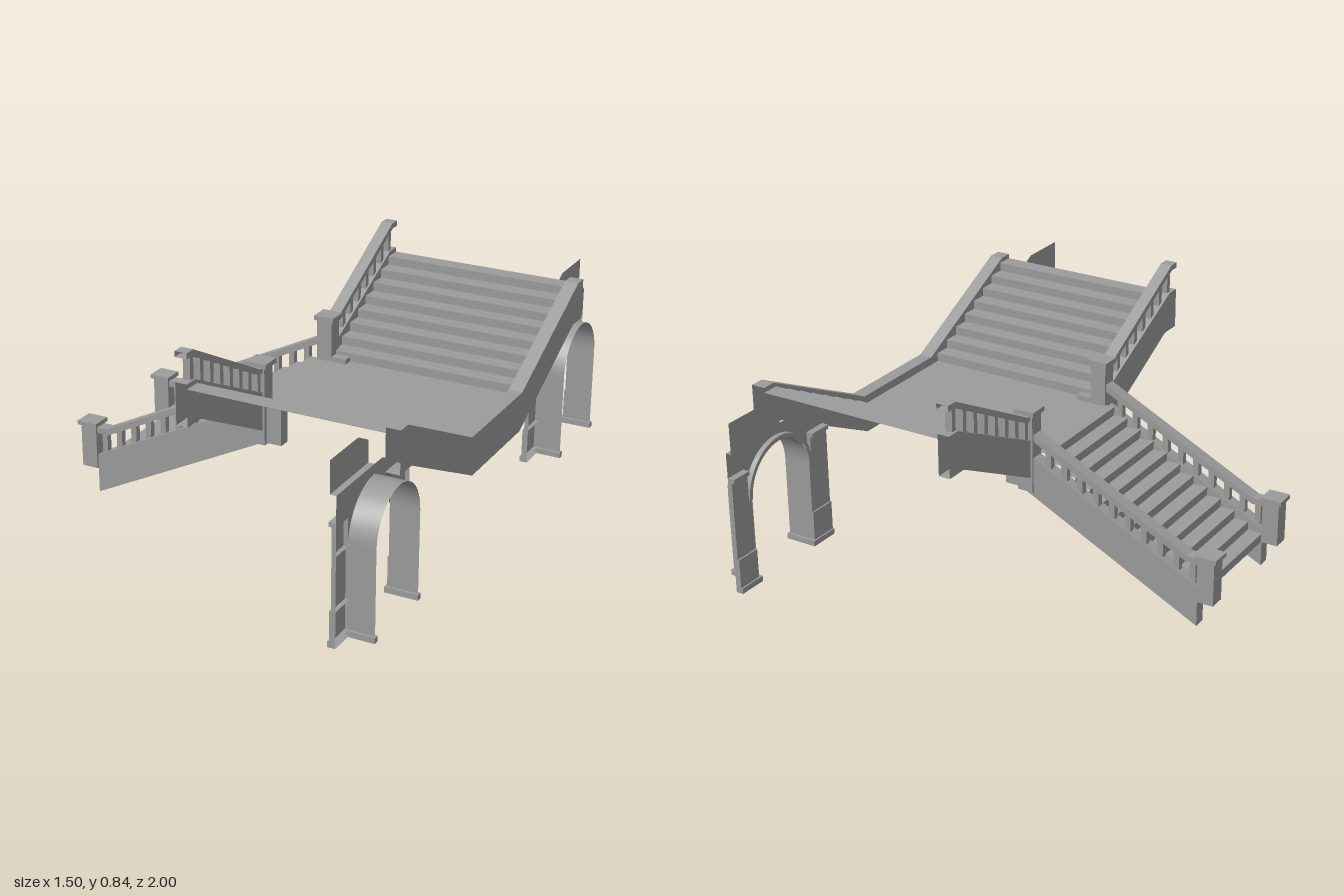
import * as THREE from 'three';

const stone = new THREE.MeshStandardMaterial({ color: 0x9b9b9b });
const thin = new THREE.MeshStandardMaterial({ color: 0x9b9b9b, side: THREE.DoubleSide });

function add(parent, name, geometry, material = stone) {
  const mesh = new THREE.Mesh(geometry, material);
  mesh.name = name;
  parent.add(mesh);
  return mesh;
}

// Box given by its limits on each axis
function box(parent, name, x0, x1, y0, y1, z0, z1) {
  const g = new THREE.BoxGeometry(x1 - x0, y1 - y0, Math.abs(z1 - z0));
  g.translate((x0 + x1) / 2, (y0 + y1) / 2, (z0 + z1) / 2);
  return add(parent, name, g);
}

// Hollow box, open towards +x
function relief(...args) {
  const mesh = box(...args);
  mesh.geometry.setIndex([...mesh.geometry.index.array].slice(6));
  mesh.material = thin;
}

const toShape = (pts) => new THREE.Shape(pts.map(([a, b]) => new THREE.Vector2(a, b)));

// Side profile in (x, y), thickened along z
function slabXY(parent, name, pts, z0, z1) {
  const g = new THREE.ExtrudeGeometry(toShape(pts), { depth: Math.abs(z1 - z0), bevelEnabled: false });
  g.translate(0, 0, Math.min(z0, z1));
  return add(parent, name, g);
}

// Profile in (z, y), thickened along x, with its ends (facing +z and -z) left open
function openSlabZY(parent, name, pts, x0, x1) {
  const g = new THREE.ExtrudeGeometry(toShape(pts), { depth: x1 - x0, bevelEnabled: false });
  g.rotateY(-Math.PI / 2).translate(x1, 0, 0);
  const keep = [];
  for (let i = 0; i < g.attributes.position.count; i += 3) {
    if (Math.abs(g.attributes.normal.getZ(i)) < 0.999) keep.push(i, i + 1, i + 2);
  }
  g.setIndex(keep);
  g.clearGroups();
  return add(parent, name, g, thin);
}

// Flat sheet in (z, y) at one x
function panelZY(parent, name, pts, x) {
  const g = new THREE.ShapeGeometry(toShape(pts)).rotateY(-Math.PI / 2).translate(x, 0, 0);
  return add(parent, name, g, thin);
}

// Thin sheet: a line of (u, y) points swept from a to b across the other axis
function sheet(parent, name, pts, a, b, alongZ, smooth = false) {
  let g = new THREE.PlaneGeometry(1, 1, pts.length - 1, 1);
  const pos = g.attributes.position;
  for (let i = 0; i < pos.count; i++) {
    const [u, y] = pts[i % pts.length];
    const w = i < pts.length ? a : b;
    if (alongZ) pos.setXYZ(i, w, y, u);
    else pos.setXYZ(i, u, y, w);
  }
  if (!smooth) g = g.toNonIndexed();
  g.computeVertexNormals();
  return add(parent, name, g, thin);
}

// Risers and treads
function stepLine(start, y, run, rise, count) {
  const pts = [[start, y]];
  for (let i = 0; i < count; i++) {
    pts.push([start + i * run, y + (i + 1) * rise], [start + (i + 1) * run, y + (i + 1) * rise]);
  }
  return pts;
}

function arc(radius) {
  return Array.from({ length: 25 }, (_, i) => {
    const t = Math.PI * (1 - i / 24);
    return [0.755 + radius * Math.cos(t), 0.41 + radius * Math.sin(t)];
  });
}

function lowerFlight() {
  const g = new THREE.Group();
  g.name = 'lowerFlight';
  sheet(g, 'lowerSteps', stepLine(-0.68, 0.1, 0.0543, 0.0309, 12), -0.225, 0.225, false);
  for (const s of [1, -1]) {
    slabXY(g, 'lowerStringer', [[-0.68, 0.005], [-0.02, 0.335], [-0.02, 0.48], [-0.68, 0.15]], s * 0.22, s * 0.265);
    slabXY(g, 'lowerHandrail', [[-0.68, 0.235], [-0.635, 0.235], [-0.03, 0.535], [-0.03, 0.56],
      [-0.64, 0.257], [-0.68, 0.257]], s * 0.22, s * 0.265);
    for (let i = 0; i < 10; i++) {
      const x = -0.655 + i * 0.0615;
      const foot = 0.15 + (x + 0.68) * 0.5;
      box(g, 'lowerBaluster', x - 0.011, x + 0.011, foot - 0.01, foot + 0.073, s * 0.232, s * 0.254);
    }
    // Newel posts
    box(g, 'bottomNewel', -0.742, -0.68, 0.1, 0.262, s * 0.213, s * 0.272);
    box(g, 'bottomNewelCap', -0.752, -0.675, 0.26, 0.275, s * 0.206, s * 0.28);
    box(g, 'topNewel', -0.05, 0.008, 0.338, 0.625, s * 0.215, s * 0.272);
    box(g, 'topNewelCap', -0.058, 0.018, 0.62, 0.637, s * 0.207, s * 0.28);
    box(g, 'newelBracket', 0, 0.065, 0.343, 0.488, s * 0.215, s * 0.26);
  }
  return g;
}

function upperFlight(s) {
  const g = new THREE.Group();
  g.name = 'upperFlight';
  const flip = (pts) => pts.map(([z, y]) => [s * z, y]);
  sheet(g, 'upperSteps', flip(stepLine(0.25, 0.47, 0.0625, 0.03125, 8)), 0, 0.69, true);
  openSlabZY(g, 'upperStringer', flip([[0.25, 0.38], [0.67, 0.59], [0.75, 0.59], [0.75, 0.737],
    [0.7, 0.737], [0.25, 0.52]]), -0.042, 0);
  openSlabZY(g, 'upperHandrail', flip([[0.25, 0.603], [0.295, 0.603], [0.715, 0.822], [0.75, 0.822],
    [0.75, 0.842], [0.71, 0.842], [0.29, 0.622], [0.25, 0.622]]), -0.042, 0.002);
  for (let i = 0; i < 8; i++) {
    const z = 0.28 + i * 0.061;
    const foot = Math.min(0.737, 0.52 + (z - 0.25) * 0.482);
    const head = 0.61 + Math.max(0, z - 0.295) * 0.5214;
    box(g, 'upperBaluster', -0.033, -0.007, foot - 0.01, head, s * (z - 0.01), s * (z + 0.01));
  }
  return g;
}

// Arched pier wall with raised work towards -x and a barrel lining towards +x
function archway(s) {
  const g = new THREE.Group();
  g.name = 'archway';
  const flip = (pts) => pts.map(([z, y]) => [s * z, y]);

  panelZY(g, 'spandrel', flip([[0.5, 0.505], [0.588, 0.505], ...arc(0.167), [0.922, 0.505],
    [1, 0.505], [1, 0.61], [0.7, 0.61], [0.5, 0.53]]), 0.655);
  panelZY(g, 'upperWall', flip([[0.75, 0.61], [1, 0.61], [1, 0.72], [0.82, 0.72], [0.75, 0.685]]), 0.634);
  sheet(g, 'wallLedge', [[0.634, 0.61], [0.655, 0.61]], s * 0.75, s, false);

  // Moulding around the opening and the lining behind it
  panelZY(g, 'archMoulding', flip([...arc(0.167), ...arc(0.152).reverse()]), 0.636);
  sheet(g, 'mouldingEdge', flip(arc(0.167)), 0.636, 0.655, true, true);
  sheet(g, 'archLining', flip([[0.603, 0.1], ...arc(0.152), [0.907, 0.1]]), 0.638, 0.742, true, true);

  for (const [z0, z1, inner, jamb] of [[0.5, 0.603, 0.588, 0.603], [0.907, 1, 0.922, 0.907]]) {
    const capital = z0 < 0.6 ? [z0, inner] : [inner, z1];
    const base = z0 < 0.6 ? [z0, 0.613] : [0.896, z1];
    relief(g, 'pilaster', 0.64, 0.655, 0.12, 0.41, s * z0, s * z1);
    relief(g, 'pilasterNeck', 0.64, 0.655, 0.41, 0.505, s * capital[0], s * capital[1]);
    relief(g, 'pilasterPlinth', 0.634, 0.655, 0.12, 0.225, s * z0, s * z1);
    relief(g, 'pilasterCapital', 0.63, 0.655, 0.505, 0.52, s * capital[0], s * capital[1]);
    // Base follows the wall and the lining jamb
    relief(g, 'pierBase', 0.628, 0.655, 0.1, 0.12, s * base[0], s * base[1]);
    box(g, 'jambBase', 0.655, 0.746, 0.1, 0.12, s * (jamb - 0.01), s * (jamb + 0.01));
  }
  return g;
}

export function createModel() {
  const model = new THREE.Group();
  model.name = 'staircase';

  // Middle landing
  sheet(model, 'landing', [[-0.03, 0.47], [0.69, 0.47]], -0.25, 0.25, false);

  // Solid parapet on the +x side, sloping up with both upper flights
  const half = [[0.2, 0.36], [0.67, 0.59], [0.75, 0.59], [0.75, 0.737], [0.7, 0.737], [0.21, 0.5]];
  const mirrored = half.map(([z, y]) => [-z, y]).reverse();
  openSlabZY(model, 'parapet', [...half, ...mirrored], 0.69, 0.74);

  model.add(lowerFlight());
  for (const s of [1, -1]) model.add(upperFlight(s), archway(s));
  return model;
}
